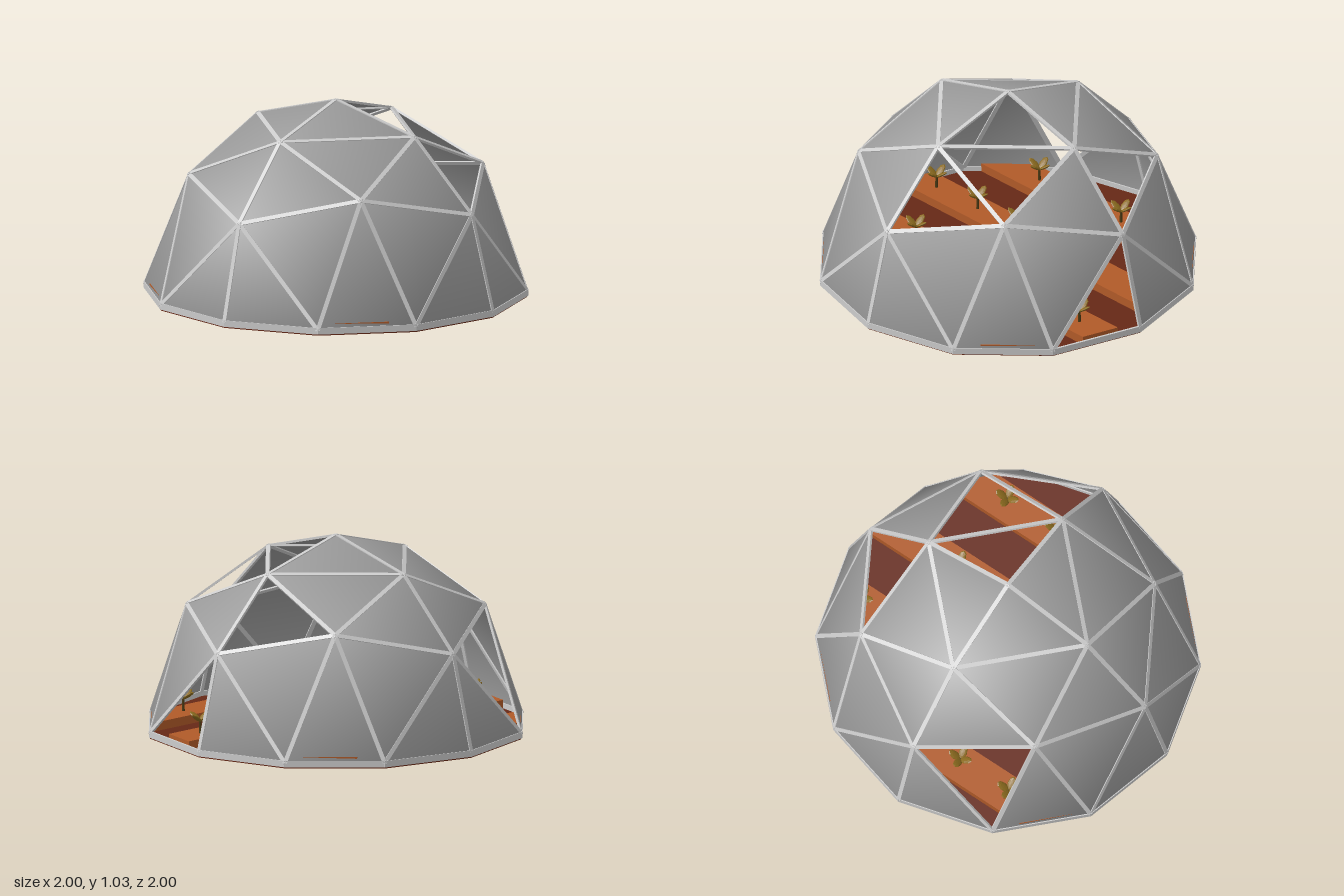
import * as THREE from 'three';

const LIFT = 0.03; // height of the dome's base ring
const mat = (color, extra = {}) => new THREE.MeshStandardMaterial({ color, ...extra });
const strutMat = mat(0xcccccc);
const panelMat = mat(0x999999, { side: THREE.DoubleSide });
const floorMat = mat(0x662816);
const bedMat = mat(0xb05a28);
const stemMat = mat(0x4a3a14);
const leafMat = mat(0x8a6a1e, { flatShading: true });

// One quarter of the dome, mirrored into the other three
const P = {
  A: [0, 1, 0], B1: [0.5, 0.866, 0], B2: [0, 0.866, 0.5],
  C1: [0.866, 0.5, 0], C: [0.548, 0.635, 0.548], C2: [0, 0.5, 0.866],
  D0: [1, 0, 0], D1: [0.866, 0, 0.5], D2: [0.5, 0, 0.866], D3: [0, 0, 1],
};
const FACES = ['A B1 B2', 'B1 C1 C', 'B1 C B2', 'B2 C C2', 'C1 D0 D1', 'C1 D1 C', 'C D1 D2', 'C D2 C2', 'C2 D2 D3'];
// Open panels, by quarter (sign of x, sign of z)
const OPEN = {
  '1,-1': ['A B1 B2', 'B1 C B2', 'B1 C1 C', 'C2 D2 D3'],
  '-1,-1': ['B2 C C2'],
  '-1,1': ['C1 D1 C'],
};

function mesh(geometry, material, name) {
  const m = new THREE.Mesh(geometry, material);
  m.name = name;
  return m;
}

// Flat bar along an edge, its face turned outward
function strut(a, b) {
  const rim = a.y === 0 && b.y === 0;
  const along = b.clone().sub(a);
  const length = along.length();
  along.normalize();
  const mid = a.clone().add(b).multiplyScalar(0.5);
  const out = mid.clone().addScaledVector(along, -mid.dot(along)).normalize();
  const side = along.clone().cross(out);
  const m = mesh(new THREE.BoxGeometry(rim ? 0.034 : 0.022, length, 0.012), strutMat, rim ? 'baseStrut' : 'strut');
  m.quaternion.setFromRotationMatrix(new THREE.Matrix4().makeBasis(side, along, out));
  m.position.copy(mid).addScaledVector(out, -0.004);
  m.position.y += LIFT - (rim ? 0.006 : 0);
  return m;
}

function buildDome() {
  const dome = new THREE.Group();
  dome.name = 'dome';
  const struts = new THREE.Group();
  struts.name = 'struts';
  const edges = new Set();
  const positions = [], normals = [];
  const key = (v) => v.toArray().map((n) => n.toFixed(2)).join();
  for (const sx of [1, -1]) for (const sz of [1, -1]) {
    const open = OPEN[`${sx},${sz}`] || [];
    for (const face of FACES) {
      const tri = face.split(' ').map((n) => new THREE.Vector3(P[n][0] * sx, P[n][1], P[n][2] * sz));
      tri.forEach((a, i) => {
        const b = tri[(i + 1) % 3];
        const id = [key(a), key(b)].sort().join('|');
        if (edges.has(id)) return;
        edges.add(id);
        struts.add(strut(a, b));
      });
      if (open.includes(face)) continue;
      // Corner order that faces outward
      const [a, b, c] = tri;
      const facing = b.clone().sub(a).cross(c.clone().sub(a)).dot(a);
      for (const v of facing > 0 ? [a, b, c] : [a, c, b]) {
        positions.push(v.x, v.y + LIFT, v.z);
        normals.push(...v.clone().normalize().toArray());
      }
    }
  }
  const g = new THREE.BufferGeometry();
  g.setAttribute('position', new THREE.Float32BufferAttribute(positions, 3));
  g.setAttribute('normal', new THREE.Float32BufferAttribute(normals, 3));
  dome.add(mesh(g, panelMat, 'panels'), struts);
  return dome;
}

// Raised planting bed, its ends cut to the twelve-sided floor
function buildBed(cx) {
  const reach = (x) => 0.985 * (Math.abs(x) < 0.5 ? 1 - 0.268 * Math.abs(x) : 1.366 - Math.abs(x));
  const x0 = cx - 0.1, x1 = cx + 0.1;
  const shape = new THREE.Shape([
    new THREE.Vector2(x0, -reach(x0)), new THREE.Vector2(x1, -reach(x1)),
    new THREE.Vector2(x1, reach(x1)), new THREE.Vector2(x0, reach(x0)),
  ]);
  const g = new THREE.ExtrudeGeometry(shape, { depth: 0.05, bevelEnabled: false });
  g.rotateX(-Math.PI / 2);
  const bed = mesh(g, bedMat, 'plantingBed');
  bed.position.y = 0.01;
  return bed;
}

// Small plant: a stem with four leaves rising outward
function buildPlant(x, z) {
  const plant = new THREE.Group();
  plant.name = 'plant';
  const stem = mesh(new THREE.CylinderGeometry(0.006, 0.008, 0.07, 6), stemMat, 'stem');
  stem.position.y = 0.035;
  plant.add(stem);
  for (let i = 0; i < 4; i++) {
    const g = new THREE.SphereGeometry(1, 8, 6);
    g.scale(0.042, 0.008, 0.022);
    g.translate(0.038, 0, 0);
    g.rotateZ(0.6);
    const leaf = mesh(g, leafMat, 'leaf');
    leaf.position.y = 0.062;
    leaf.rotation.y = i * Math.PI / 2 + 0.15;
    plant.add(leaf);
  }
  plant.position.set(x, 0.06, z);
  return plant;
}

export function createModel() {
  const model = new THREE.Group();
  model.name = 'greenhouseDome';
  model.add(buildDome());

  // Floor
  const floor = mesh(new THREE.CylinderGeometry(0.995, 0.995, 0.014, 12), floorMat, 'floor');
  floor.position.y = 0.007;
  model.add(floor);

  // Beds with rows of plants
  for (const x of [-0.66, -0.22, 0.22, 0.66]) {
    model.add(buildBed(x));
    const rows = Math.abs(x) < 0.5 ? [0.155, 0.46, 0.77] : [0.155, 0.46];
    for (const z of rows) model.add(buildPlant(x, z), buildPlant(x, -z));
  }
  return model;
}
